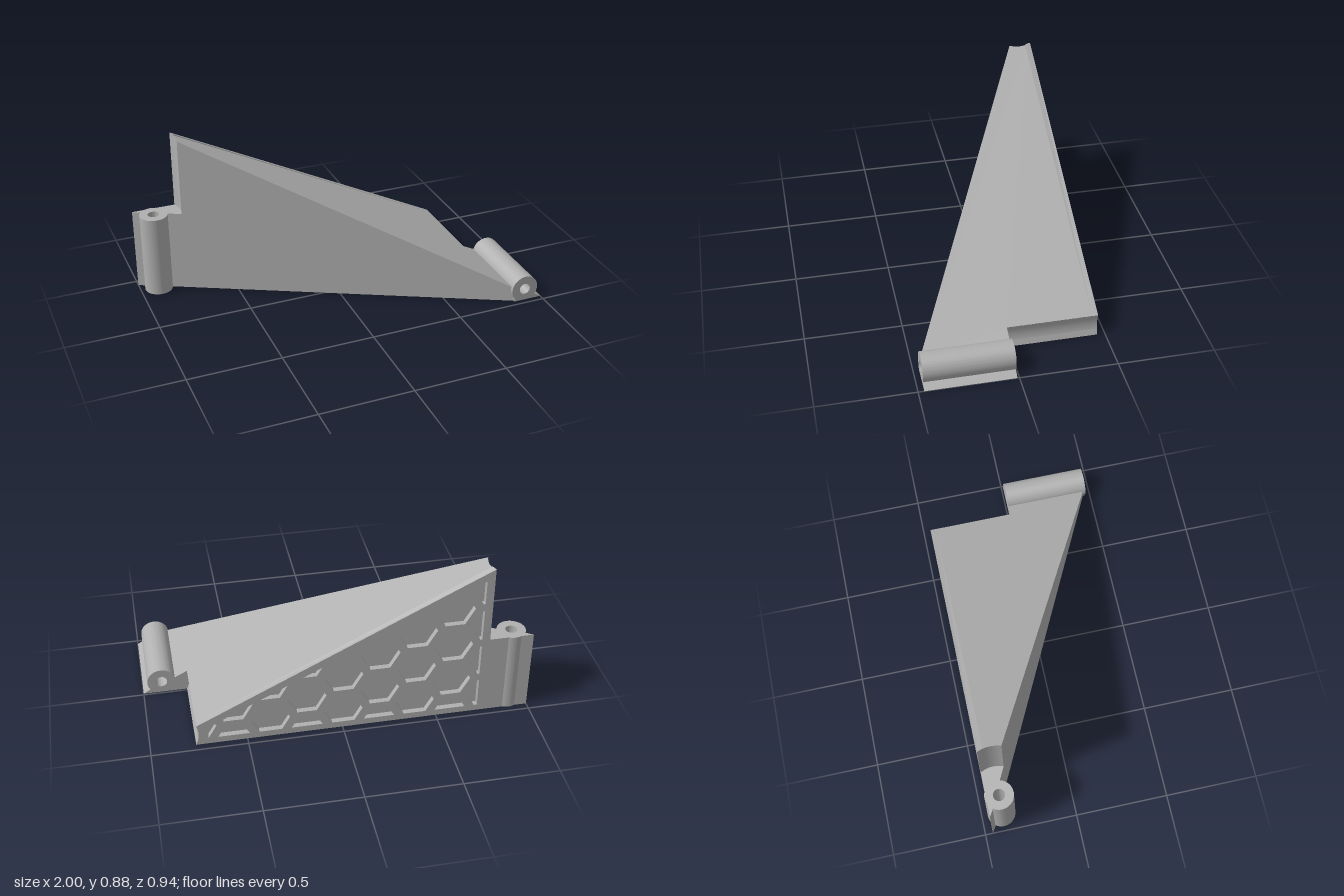
import * as THREE from 'three';
import { toCreasedNormals } from 'three/addons/utils/BufferGeometryUtils.js';

// Each half is modelled in a local frame: x along the body, y along the hinge pin,
// z inwards from the honeycomb panel. The second half is the first one turned over.
const PIN = { x: -0.9, z: 0.0675, r: 0.0755, hole: 0.031, clear: 0.15 };
const BACK = -0.46, POCKET = 0.03;

const height = x => 0.5 - 0.5 * x;
const depth = x => 0.5 + 0.5 * x;
const arcX = z => PIN.x + Math.sqrt(PIN.clear ** 2 - (z - PIN.z) ** 2);
const shapeOf = pts => new THREE.Shape(pts.map(p => new THREE.Vector2(p[0], p[1])));

// Clearance curve of a hinge as [distance along body, offset] points
const clearance = Array.from({ length: 9 }, (_, i) => {
  const z = (0.1206 * i) / 8;
  return [arcX(z), z];
});
const E0 = clearance[0][0], E1 = clearance[8][0];

function warp(geo, rule) {
  const p = geo.attributes.position, v = new THREE.Vector3();
  for (let i = 0; i < p.count; i++) {
    rule(v.fromBufferAttribute(p, i));
    p.setXYZ(i, v.x, v.y, v.z);
  }
  geo.computeVertexNormals();
  return geo;
}

// Cut a polygon by the half plane a*x + b*y <= c
function clip(poly, [a, b, c]) {
  const out = [];
  poly.forEach((p, i) => {
    const q = poly[(i + 1) % poly.length];
    const dp = a * p[0] + b * p[1] - c, dq = a * q[0] + b * q[1] - c;
    if (dp <= 0) out.push(p);
    if (dp * dq < 0) {
      const t = dp / (dp - dq);
      out.push([p[0] + (q[0] - p[0]) * t, p[1] + (q[1] - p[1]) * t]);
    }
  });
  return out;
}

// Hexagonal pockets trimmed to a margin inside the triangular panel
function honeycomb() {
  const cells = [], R = 0.102, pitch = 0.22;
  const limits = [[-1, 0, 0.725], [1, 0, 0.7], [0, -1, -0.035], [0.5, 1, 0.455]];
  for (let col = 0; col < 9; col++) {
    for (let row = 0; row < 5; row++) {
      const cx = -0.765 + col * pitch * 0.866, cy = (row + (col % 2 ? 0 : 0.5)) * pitch;
      let hex = Array.from({ length: 6 }, (_, k) =>
        [cx + R * Math.cos(k * Math.PI / 3), cy + R * Math.sin(k * Math.PI / 3)]);
      for (const l of limits) hex = clip(hex, l);
      if (hex.length > 2 && Math.abs(THREE.ShapeUtils.area(shapeOf(hex).getPoints())) > 0.0008) cells.push(hex);
    }
  }
  return cells;
}

function makeHalf(mat, o) {
  const g = new THREE.Group();
  const add = (name, geo) => {
    const m = new THREE.Mesh(geo, mat);
    m.name = name;
    g.add(m);
    return m;
  };

  // Panel with honeycomb pockets, and the pocket floors
  const panel = shapeOf(o.panel);
  const floor = new THREE.ShapeGeometry(panel).translate(0, 0, POCKET);
  panel.holes = honeycomb().map(c => new THREE.Path(c.map(p => new THREE.Vector2(...p))));
  const plate = new THREE.ExtrudeGeometry(panel, { depth: POCKET, bevelEnabled: false });
  const followArc = v => { if (Math.abs(v.x - -0.766) < 0.002) v.x = arcX(v.z); };
  add('honeycombPanel', warp(plate, followArc));
  add('pocketFloor', warp(floor, followArc));

  // Slanted outer face
  add('slantedFace', warp(new THREE.ShapeGeometry(shapeOf(o.slant)), v => { v.z = depth(v.x); }));

  // Curved clearance wall for the mating hinge
  const wall = new THREE.PlaneGeometry(1, 1, 8, 1);
  add('clearanceWall', warp(wall, v => {
    const z = (v.x + 0.5) * 0.1206, x = arcX(z);
    const [a, b] = o.wall(x);
    v.set(x, v.y > 0 ? b : a, z);
  }));

  // Ledge between the clearance wall and the barrel
  const ledge = new THREE.ShapeGeometry(shapeOf([[-0.845, 0], ...clearance, [-0.845, depth(-0.845)]]));
  add('hingeLedge', warp(ledge, v => v.set(v.x, o.step, v.y)));

  // Hinge barrel with pin hole, and the thin lip below it
  const ring = new THREE.Shape();
  const cut = o.flatBarrel ? Math.acos(PIN.z / PIN.r) : 0;
  ring.absarc(PIN.x, PIN.z, PIN.r, -Math.PI / 2 + cut, 1.5 * Math.PI - cut, false);
  const hole = new THREE.Path();
  hole.absarc(PIN.x, PIN.z, PIN.hole, 0, Math.PI * 2, true);
  ring.holes.push(hole);
  const lip = shapeOf([[-0.84, 0], [-1, 0], [-0.965, 0.022], [-0.84, 0.022]]);
  for (const [name, shape] of [['hingeBarrel', ring], ['hingeLip', lip]]) {
    const geo = new THREE.ExtrudeGeometry(shape, {
      depth: o.pin[1] - o.pin[0], bevelEnabled: false, curveSegments: 40
    });
    geo.rotateX(Math.PI / 2).translate(0, o.pin[1], 0);
    add(name, toCreasedNormals(geo, 0.5));
  }
  return g;
}

export function createModel() {
  const grey = new THREE.MeshStandardMaterial({ color: 0xb0b0b0, side: THREE.DoubleSide });
  grey.name = 'grey';
  const model = new THREE.Group();
  model.name = 'hingedWedge';
  const X = 0.845, low = height(X), high = height(-X);
  const s = 0.455, t = 0.47;
  const farArc = clearance.map(([x, z]) => [-x, z]);

  // Upright half: barrel at the foot, clearance above it
  const upright = makeHalf(grey, {
    panel: [[-X, 0], ...farArc, [E0, height(E0)], [E0, s], [-X, s]],
    slant: [[-X, 0], [X, 0], [X, low], [E1, height(E1)], [E1, s], [-X, s]],
    wall: x => [s, height(x)],
    step: s, pin: [0, s], flatBarrel: false
  });
  upright.name = 'uprightHalf';
  upright.position.z = BACK;

  // Base half: barrel at the front, clearance behind it
  const base = makeHalf(grey, {
    panel: [[X, 0], [E0, 0], [E0, t], [-X, t], [-X, high], [X, low]],
    slant: [[E1, 0], [E1, t], [-X, t], [-X, high], ...farArc.slice().reverse()],
    wall: () => [0, t],
    step: t, pin: [t, 0.93], flatBarrel: true
  });
  base.name = 'baseHalf';
  base.quaternion.setFromAxisAngle(new THREE.Vector3(0, 1, 1).normalize(), Math.PI);
  base.position.z = BACK;

  model.add(upright, base);
  return model;
}
